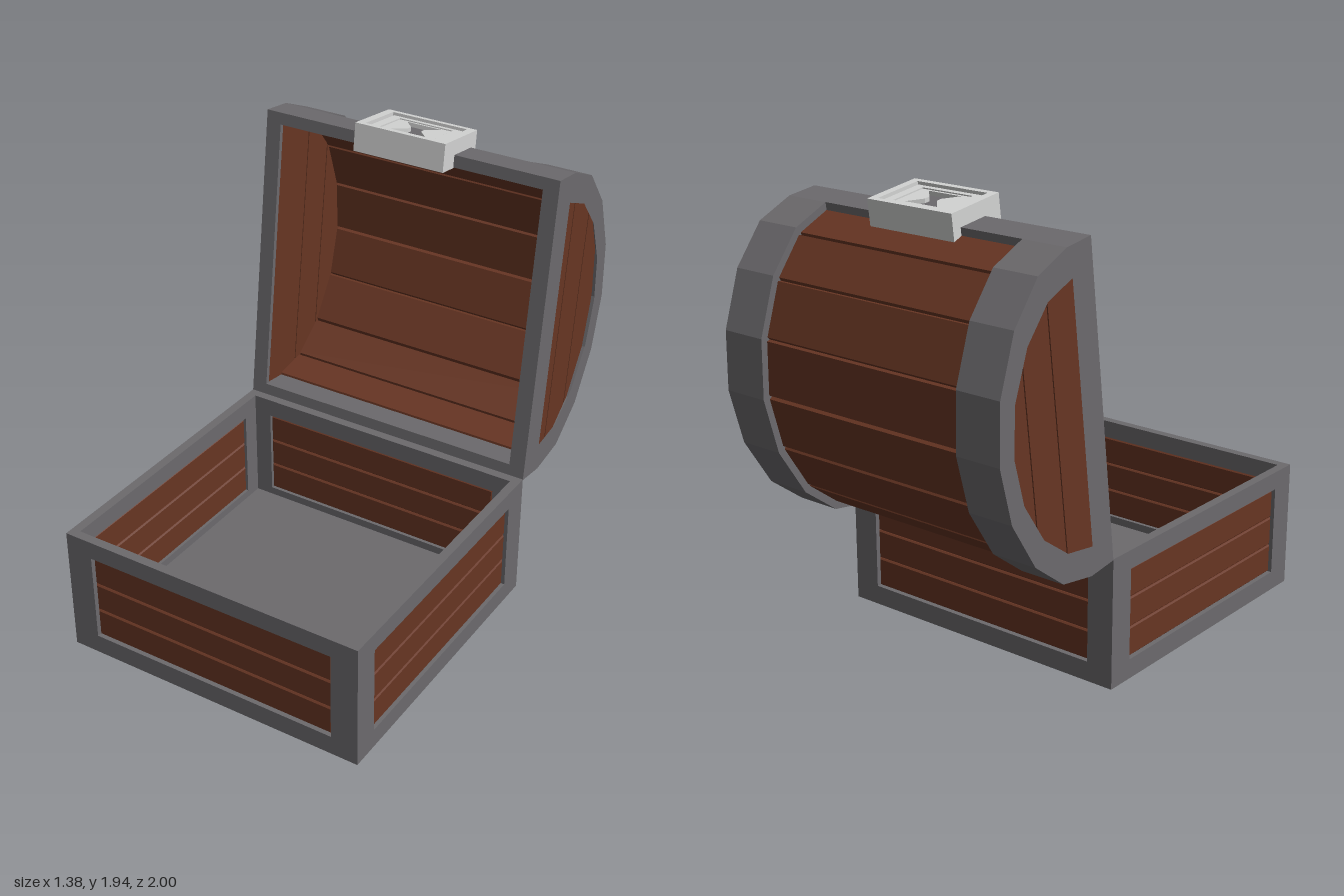
import * as THREE from 'three';

const grey = new THREE.MeshStandardMaterial({ color: 0x6c6a6d, name: 'iron grey' });
const brown = new THREE.MeshStandardMaterial({ color: 0x673523, name: 'wood brown' });
const silver = new THREE.MeshStandardMaterial({ color: 0xd3d4d3, name: 'lock silver' });

const W = 1.38, D = 1.32, H = 0.56, MID = D / 2;

function add(parent, name, geometry, material, x = 0, y = 0, z = 0) {
  const mesh = new THREE.Mesh(geometry, material);
  mesh.name = name;
  mesh.position.set(x, y, z);
  parent.add(mesh);
  return mesh;
}

const toShape = (pts) => new THREE.Shape(pts.map((p) => new THREE.Vector2(p[0], p[1])));
const rect = (x0, y0, x1, y1) => [[x0, y0], [x1, y0], [x1, y1], [x0, y1]];

function extrude(pts, depth, hole, bevel = 0) {
  const shape = toShape(pts);
  if (hole) shape.holes.push(toShape(hole));
  return new THREE.ExtrudeGeometry(shape, {
    depth: depth - 2 * bevel, bevelEnabled: bevel > 0, bevelSize: bevel,
    bevelThickness: bevel, bevelOffset: -bevel, bevelSegments: 1,
  }).translate(0, 0, bevel);
}

// Outline in lid depth (z) and height (y), extruded across x from x0 to x1
function prism(pts, x0, x1, hole) {
  return extrude(pts, x1 - x0, hole).rotateY(-Math.PI / 2).translate(x1, 0, 0);
}

// Half of the arched lid outline, shrunk by du in depth and dv in height
function halfArch(du, dv = du) {
  return [[0, 0], [0, 0.14], [0.05, 0.31], [0.196, 0.459], [0.418, 0.565], [MID, 0.6]]
    .map(([u, v]) => [MID + (u - MID) * (1 - du / MID), v * (1 - dv / 0.6)]);
}
const mirrored = (half) => [...half, ...half.filter((p) => p[0] < MID - 1e-6).reverse().map(([u, v]) => [D - u, v])];
const arch = (du, dv) => mirrored(halfArch(du, dv));

// Slice of an arch between two heights
function archSlice(half, v0, v1) {
  const at = (v) => {
    const i = Math.max(1, half.findIndex((p) => p[1] >= v));
    const [a, b] = [half[i - 1], half[i]];
    return [a[0] + (b[0] - a[0]) * (v - a[1]) / (b[1] - a[1]), v];
  };
  return mirrored([at(v0), ...half.filter((p) => p[1] > v0 + 1e-4 && p[1] < v1 - 1e-4), at(v1)]);
}

// Framed wall with three recessed planks, outer face at z = 0
function makeWall(name, width) {
  const wall = new THREE.Group();
  wall.name = name;
  const h = width / 2, o = h - 0.12;
  add(wall, 'wallFrame', extrude(rect(-h, 0, h, H), 0.04, rect(-o, 0.085, o, 0.48)), grey, 0, 0, -0.04);
  for (let i = 0; i < 3; i++) {
    const y = 0.088 + i * 0.13;
    add(wall, 'wallPlank', extrude(rect(-o + 0.003, y, o - 0.003, y + 0.127), 0.022, null, 0.006), brown, 0, 0, -0.034);
  }
  return wall;
}

function makeBase() {
  const base = new THREE.Group();
  base.name = 'base';
  for (const s of [1, -1]) {
    const long = makeWall(s > 0 ? 'frontWall' : 'backWall', W);
    long.position.z = s * D / 2;
    long.rotation.y = s > 0 ? 0 : Math.PI;
    const side = makeWall(s > 0 ? 'leftWall' : 'rightWall', D);
    side.position.x = s * W / 2;
    side.rotation.y = s * Math.PI / 2;
    base.add(long, side);
  }
  add(base, 'floor', new THREE.BoxGeometry(W - 0.01, 0.05, D - 0.01), grey, 0, 0.025, 0);
  base.position.z = 0.34;
  return base;
}

// Clasp on the lid's front lip: stepped plate with an hourglass opening
function makeLock() {
  const lock = new THREE.Group();
  lock.name = 'lock';
  add(lock, 'lockBody', new THREE.BoxGeometry(0.42, 0.27, 0.085), silver, 0, 0, 0.0425);
  add(lock, 'lockBorder', extrude(rect(-0.21, -0.135, 0.21, 0.135), 0.035, rect(-0.175, -0.112, 0.175, 0.112)), silver, 0, 0, 0.085);
  add(lock, 'lockInnerFrame', extrude(rect(-0.165, -0.104, 0.165, 0.104), 0.025, rect(-0.125, -0.083, 0.125, 0.083)), silver, 0, 0, 0.085);
  const hourglass = [[-0.08, -0.068], [0.08, -0.068], [0.03, -0.012], [0.03, 0.012],
    [0.08, 0.068], [-0.08, 0.068], [-0.03, 0.012], [-0.03, -0.012]];
  add(lock, 'lockPlate', extrude(rect(-0.12, -0.078, 0.12, 0.078), 0.022, hourglass), silver, 0, 0, 0.085);
  add(lock, 'keyhole', extrude(hourglass, 0.004), grey, 0, 0, 0.085);
  lock.position.set(0.008, 0.047, 1.265);
  return lock;
}

function makeLid() {
  const lid = new THREE.Group();
  lid.name = 'lid';

  // Arched end bands, framed end caps and rims
  const band = [...arch(0), ...arch(0.042).reverse()];
  const liner = halfArch(0.045);
  const heights = [0.005, 0.24, 0.4, liner[5][1]];
  for (const s of [-1, 1]) {
    const span = (a, b) => (s > 0 ? [a, b] : [-b, -a]);
    add(lid, 'endBand', prism(band, ...span(0.49, 0.69)), grey);
    add(lid, 'endFrame', prism(arch(0), ...span(0.655, 0.69), arch(0.12, 0.08).slice(1, -1)), grey);
    add(lid, 'endRim', prism(rect(0, 0, D, 0.02), ...span(0.62, 0.69)), grey);
    for (let i = 0; i < 3; i++) {
      const pts = archSlice(liner, heights[i] + 0.003, heights[i + 1] - 0.003);
      add(lid, 'endPlank', prism(pts, ...span(0.625, 0.662)), brown);
    }
  }

  // Lips along the hinge and the front
  add(lid, 'hingeLip', prism(rect(0, 0, 0.052, 0.14), -0.69, 0.69), grey);
  add(lid, 'frontLip', prism(rect(D - 0.052, 0, D, 0.14), -0.69, 0.69), grey);

  // One chamfered plank for each facet of the arch
  const outer = arch(0.03), inner = arch(0.06);
  const mix = (a, b, t) => [a[0] + (b[0] - a[0]) * t, a[1] + (b[1] - a[1]) * t];
  for (let i = 1; i < outer.length - 2; i++) {
    const [a, b, c, d] = [outer[i], outer[i + 1], inner[i + 1], inner[i]];
    const pts = [mix(a, b, 0.035), mix(a, b, 0.965), mix(b, c, 0.5), mix(c, d, 0.03), mix(c, d, 0.97), mix(a, d, 0.5)];
    add(lid, 'archPlank', prism(pts, -0.65, 0.65), brown);
  }

  lid.add(makeLock());
  lid.position.set(0, H - 0.003, -0.32);
  lid.rotation.x = THREE.MathUtils.degToRad(-97.4);
  return lid;
}

export function createModel() {
  const chest = new THREE.Group();
  chest.name = 'openChest';
  chest.add(makeBase(), makeLid());
  return chest;
}
